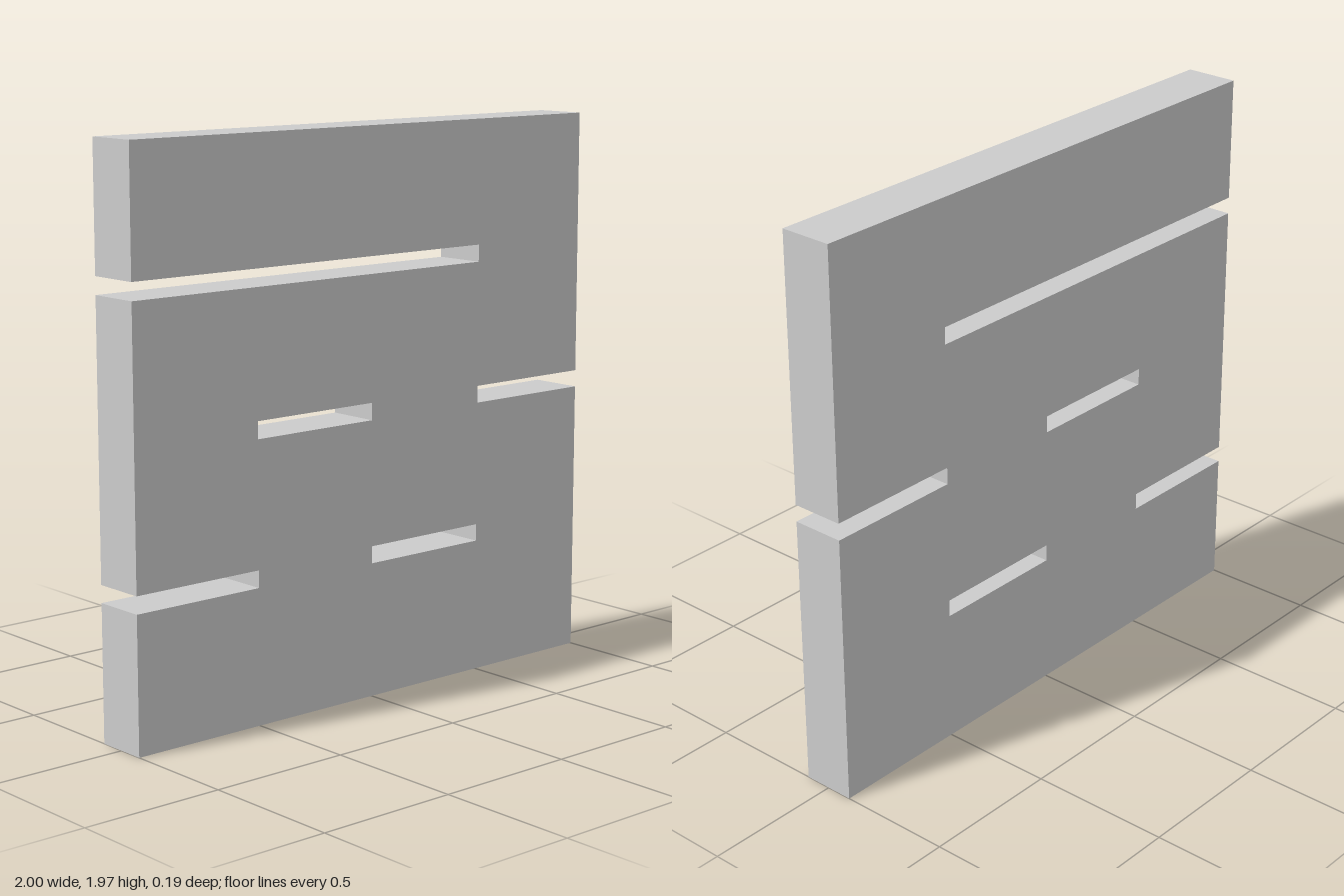
import * as THREE from 'three';

const HEIGHT = 1.97;
const DEPTH = 0.19;
const SLOT = 0.06; // slot height
const ROWS = [0.473, 0.973, 1.473]; // lower edge of each slot row

// Points of a closed slot, clockwise
function slotHole(x0, x1, y) {
  return new THREE.Path([[x0, y], [x0, y + SLOT], [x1, y + SLOT], [x1, y]]
    .map(([x, yy]) => new THREE.Vector2(x, yy)));
}

// Points of an open notch cut into an edge, in the order the outline runs
function notch(edgeX, endX, yFrom, yTo) {
  return [[edgeX, yFrom], [endX, yFrom], [endX, yTo], [edgeX, yTo]];
}

export function createModel() {
  const model = new THREE.Group();
  const [low, mid, high] = ROWS;

  // Panel outline, counter-clockwise, with open notches on both sides
  const outline = [
    [-1, 0], [1, 0],
    ...notch(1, 0.5, mid, mid + SLOT),
    [1, HEIGHT], [-1, HEIGHT],
    ...notch(-1, 0.5, high + SLOT, high),
    ...notch(-1, -0.5, low + SLOT, low),
  ].map(([x, y]) => new THREE.Vector2(x, y));
  const shape = new THREE.Shape(outline);

  // Closed slots
  shape.holes.push(slotHole(-0.5, 0, mid), slotHole(0, 0.5, low));

  const geometry = new THREE.ExtrudeGeometry(shape, { depth: DEPTH, bevelEnabled: false });
  geometry.translate(0, 0, -DEPTH / 2);
  const panel = new THREE.Mesh(geometry, new THREE.MeshStandardMaterial({ color: 0xcccccc }));
  panel.name = 'slottedPanel';
  model.add(panel);
  return model;
}
